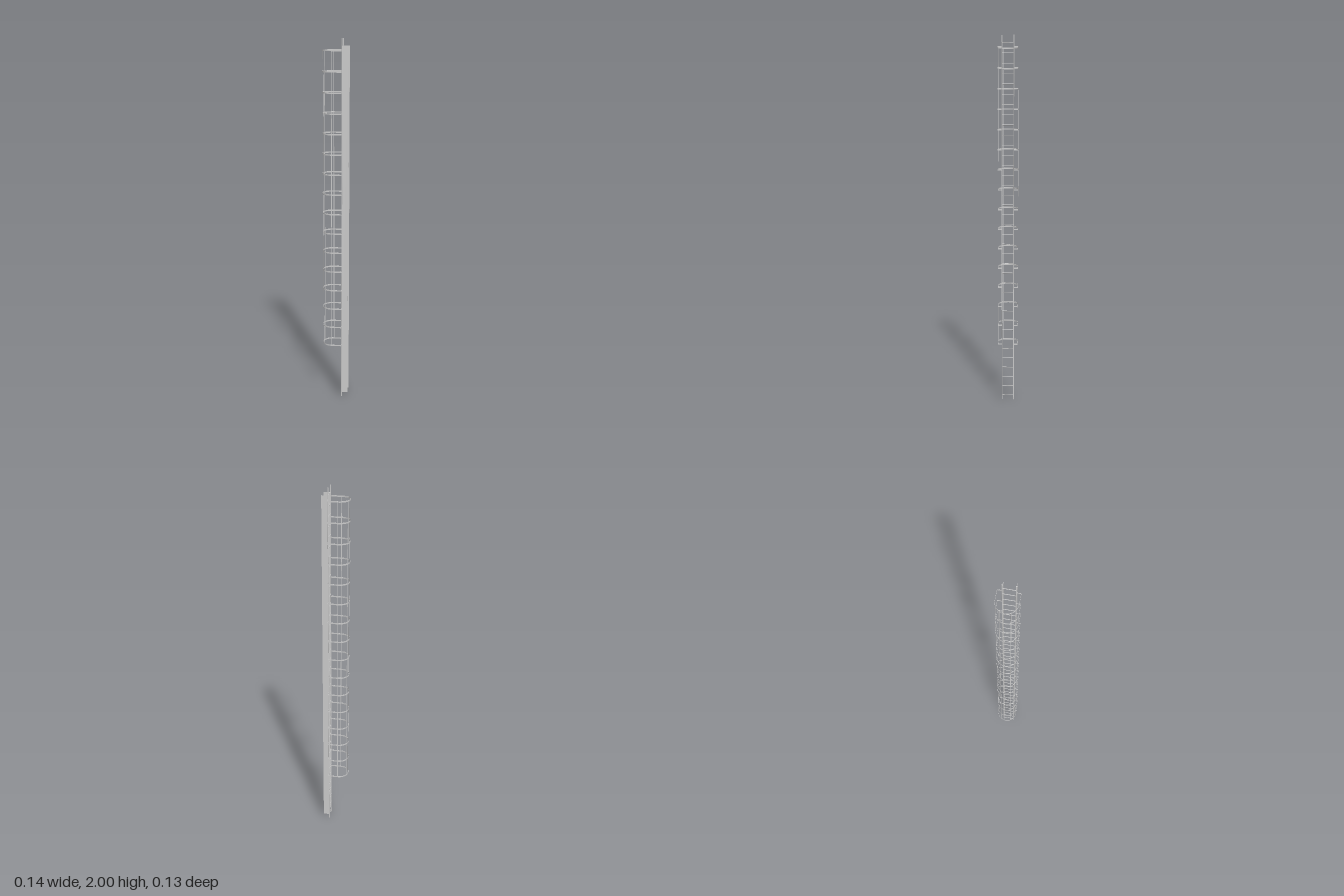
import * as THREE from 'three';

const material = new THREE.MeshStandardMaterial({ color: 0xcccccc });

function add(parent, name, geometry, x = 0, y = 0, z = 0) {
  const mesh = new THREE.Mesh(geometry, material);
  mesh.name = name;
  mesh.position.set(x, y, z);
  parent.add(mesh);
  return mesh;
}

// Flat U-shaped strap whose ends turn in to meet the ladder stiles
function hoopGeometry(halfWidth, reach, stileX, thickness, height) {
  const t = thickness / 2, R = halfWidth + t, r = halfWidth - t;
  const s = new THREE.Shape();
  s.moveTo(stileX, -t);
  s.lineTo(R, -t);
  s.lineTo(R, reach);
  s.absarc(0, reach, R, 0, Math.PI, false);
  s.lineTo(-R, -t);
  s.lineTo(-stileX, -t);
  s.lineTo(-stileX, t);
  s.lineTo(-r, t);
  s.lineTo(-r, reach);
  s.absarc(0, reach, r, Math.PI, 0, true);
  s.lineTo(r, t);
  s.lineTo(stileX, t);
  s.closePath();
  const g = new THREE.ExtrudeGeometry(s, { depth: height, bevelEnabled: false, curveSegments: 16 });
  g.translate(0, 0, -height / 2);
  g.rotateX(-Math.PI / 2);
  return g;
}

export function createModel() {
  const model = new THREE.Group();
  model.name = 'cagedLadder';

  // The ladder stands turned about the vertical axis
  const ladder = new THREE.Group();
  ladder.name = 'ladder';
  ladder.position.set(0.026, 0, 0.019);
  ladder.rotation.y = 0.955;
  model.add(ladder);

  const stileX = 0.0315, cageX = 0.054, reach = 0.053;
  const plateBottom = 0.026, plateTop = 1.961;

  // Stiles with a full-height plate behind each
  const stile = new THREE.CylinderGeometry(0.0025, 0.0025, 2, 12);
  const plate = new THREE.BoxGeometry(0.001, plateTop - plateBottom, 0.034);
  for (const side of [-1, 1]) {
    add(ladder, 'stile', stile, side * stileX, 1, 0);
    add(ladder, 'mountingPlate', plate, side * stileX, (plateTop + plateBottom) / 2, 0.017);
  }

  // Rungs
  const rung = new THREE.CylinderGeometry(0.0018, 0.0018, stileX * 2, 8).rotateZ(Math.PI / 2);
  const rungCount = 37;
  for (let i = 0; i < rungCount; i++) {
    add(ladder, 'rung', rung, 0, plateBottom + (plateTop - plateBottom) * i / (rungCount - 1), 0);
  }

  // Safety cage hoops
  const cage = new THREE.Group();
  cage.name = 'safetyCage';
  ladder.add(cage);
  const cageBottom = 0.32, cageTop = 1.938, hoopCount = 16;
  const hoop = hoopGeometry(cageX, reach, stileX, 0.001, 0.007);
  for (let i = 0; i < hoopCount; i++) {
    add(cage, 'hoop', hoop, 0, cageBottom + (cageTop - cageBottom) * i / (hoopCount - 1), 0);
  }

  // Vertical cage bars evenly spread around the curve
  const bar = new THREE.BoxGeometry(0.0035, cageTop - cageBottom, 0.001);
  for (let i = 0; i < 4; i++) {
    const a = -Math.PI / 2 + i * Math.PI / 3;
    const m = add(cage, 'cageBar', bar, Math.sin(a) * cageX, (cageTop + cageBottom) / 2,
      -reach - Math.cos(a) * cageX);
    m.rotation.y = -a;
  }

  return model;
}
